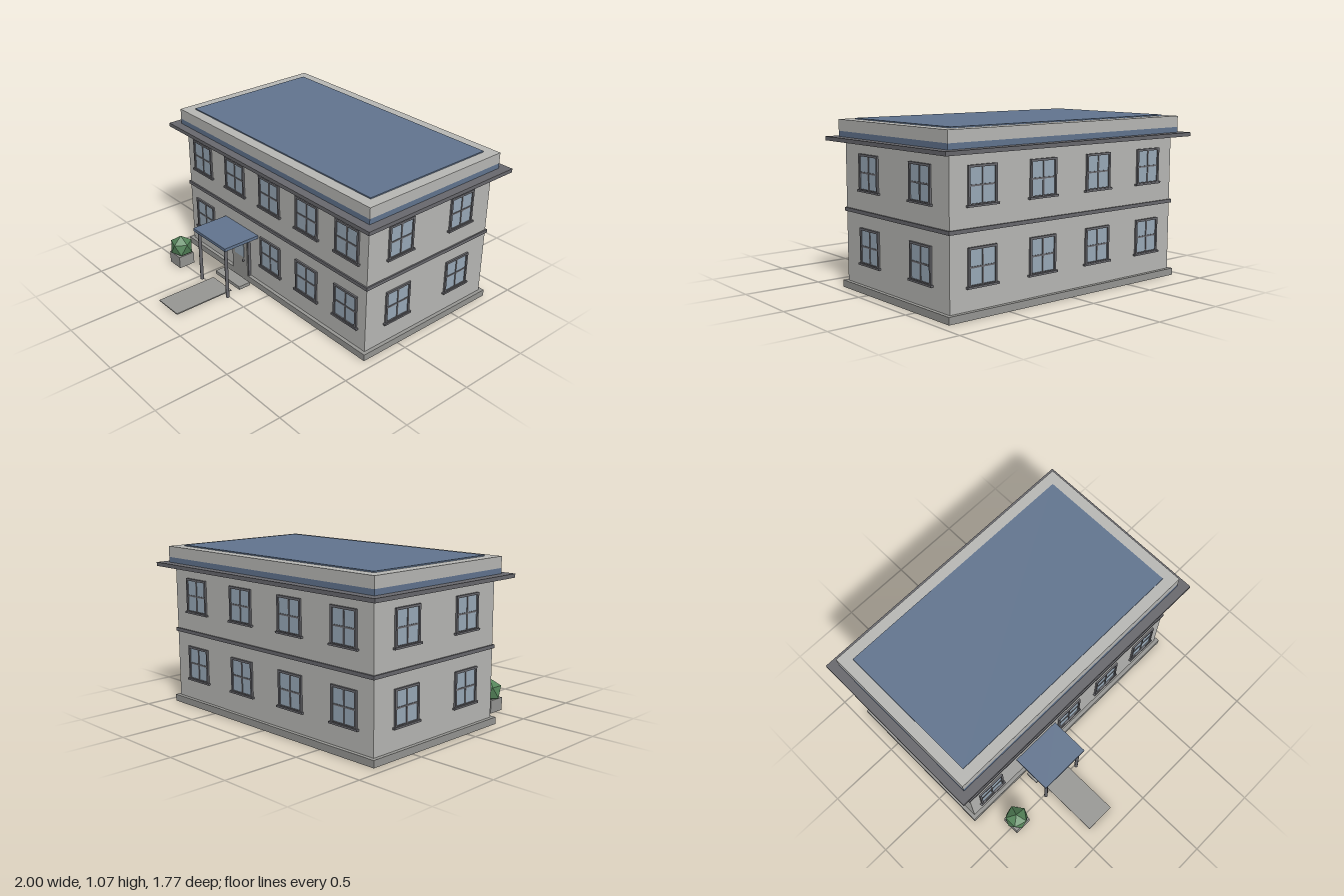
import * as THREE from 'three';

const material = (name, color) => new THREE.MeshStandardMaterial({ name, color });

export function createModel() {
  const wall = material('wall', 0xb9b9b6);
  const stone = material('stone', 0x979794);
  const trim = material('darkTrim', 0x69696e);
  const roofBlue = material('roofBlue', 0x627590);
  const glass = material('glass', 0x9aabba);
  const leaf = material('leaf', 0x55855a);

  const model = new THREE.Group();
  model.name = 'building';

  // Box given by its size, centre x and z, and the height of its underside
  const box = (parent, name, mat, w, h, d, x, y0, z) => {
    const mesh = new THREE.Mesh(new THREE.BoxGeometry(w, h, d), mat);
    mesh.name = name;
    mesh.position.set(x, y0 + h / 2, z);
    parent.add(mesh);
    return mesh;
  };

  // Main body, stacked as storeys, belt, cornice and parapet
  const W = 1.82, D = 1.06, CZ = -0.266;
  const layers = [
    ['plinth', stone, 0.025, 0, 0.045],
    ['walls', wall, 0, 0.045, 0.93],
    ['beltCourse', trim, 0.01, 0.49, 0.513],
    ['cornice', trim, 0.09, 0.93, 0.955],
    ['roofBase', roofBlue, 0.03, 0.955, 0.99],
    ['parapet', wall, 0.03, 0.99, 1.062],
    ['roofPanel', roofBlue, -0.044, 1.062, 1.07],
  ];
  for (const [name, mat, out, y0, y1] of layers) {
    box(model, name, mat, W + 2 * out, y1 - y0, D + 2 * out, 0, y0, CZ);
  }

  // Window: frame, cross bars, pane and sill, facing +z with its back on z = 0
  const makeWindow = () => {
    const g = new THREE.Group();
    g.name = 'window';
    const w = 0.206, h = 0.228, bar = 0.014;
    box(g, 'pane', glass, w - bar, h - bar, 0.004, 0, bar / 2, 0.002);
    for (const s of [-1, 1]) {
      box(g, 'frameSide', trim, bar, h, 0.012, s * (w - bar) / 2, 0, 0.006);
    }
    box(g, 'frameTop', trim, w - 2 * bar, bar, 0.012, 0, h - bar, 0.006);
    box(g, 'frameBottom', trim, w - 2 * bar, bar, 0.012, 0, 0, 0.006);
    box(g, 'mullion', trim, 0.01, h - 2 * bar, 0.008, 0, bar, 0.004);
    box(g, 'transom', trim, w - 2 * bar, 0.01, 0.008, 0, h / 2 - 0.005, 0.004);
    box(g, 'sill', trim, 0.228, 0.012, 0.018, 0, -0.004, 0.009);
    return g;
  };
  const placeWindow = (x, y, z, turn) => {
    const g = makeWindow();
    g.position.set(x, y, z);
    g.rotation.y = turn;
    model.add(g);
  };
  for (const [floor, y] of [0.178, 0.634].entries()) {
    for (const x of [-0.733, -0.367, 0, 0.367, 0.733]) {
      if (floor === 0 && x === -0.367) continue; // entrance is here
      placeWindow(x, y, CZ + D / 2, 0);
    }
    for (const x of [-0.683, -0.228, 0.228, 0.683]) {
      placeWindow(x, y, CZ - D / 2, Math.PI);
    }
    for (const side of [-1, 1]) {
      for (const dz of [-0.265, 0.265]) {
        placeWindow(side * W / 2, y, CZ + dz, side * Math.PI / 2);
      }
    }
  }

  // Entrance: door, canopy on two posts, step and path
  const entrance = new THREE.Group();
  entrance.name = 'entrance';
  model.add(entrance);
  const EX = -0.313, front = CZ + D / 2;
  box(entrance, 'doorFrame', trim, 0.182, 0.318, 0.02, EX, 0.02, front + 0.01);
  box(entrance, 'door', stone, 0.164, 0.309, 0.025, EX, 0.02, front + 0.0125);
  box(entrance, 'doorGlass', glass, 0.098, 0.1, 0.006, EX, 0.18, front + 0.026);
  const knob = new THREE.Mesh(new THREE.SphereGeometry(0.008, 12, 8), trim);
  knob.name = 'doorKnob';
  knob.position.set(EX + 0.045, 0.155, front + 0.03);
  entrance.add(knob);
  box(entrance, 'canopy', roofBlue, 0.362, 0.022, 0.272, EX, 0.378, 0.401);
  for (const s of [-1, 1]) {
    const post = new THREE.Mesh(new THREE.CylinderGeometry(0.012, 0.012, 0.378, 8), trim);
    post.name = 'canopyPost';
    post.position.set(EX + s * 0.15, 0.189, 0.51);
    entrance.add(post);
  }
  box(entrance, 'step', stone, 0.272, 0.024, 0.09, EX, 0.004, 0.357);
  box(entrance, 'path', stone, 0.21, 0.008, 0.44, EX, 0, 0.667);

  // Planter with a faceted shrub standing on one of its points
  box(model, 'planter', stone, 0.12, 0.086, 0.12, -0.73, 0.004, 0.495);
  const shrub = new THREE.IcosahedronGeometry(0.084, 0);
  shrub.rotateZ(-Math.atan(2 / (1 + Math.sqrt(5))));
  const bush = new THREE.Mesh(shrub, leaf);
  bush.name = 'shrub';
  bush.position.set(-0.73, 0.136, 0.495);
  model.add(bush);

  return model;
}
